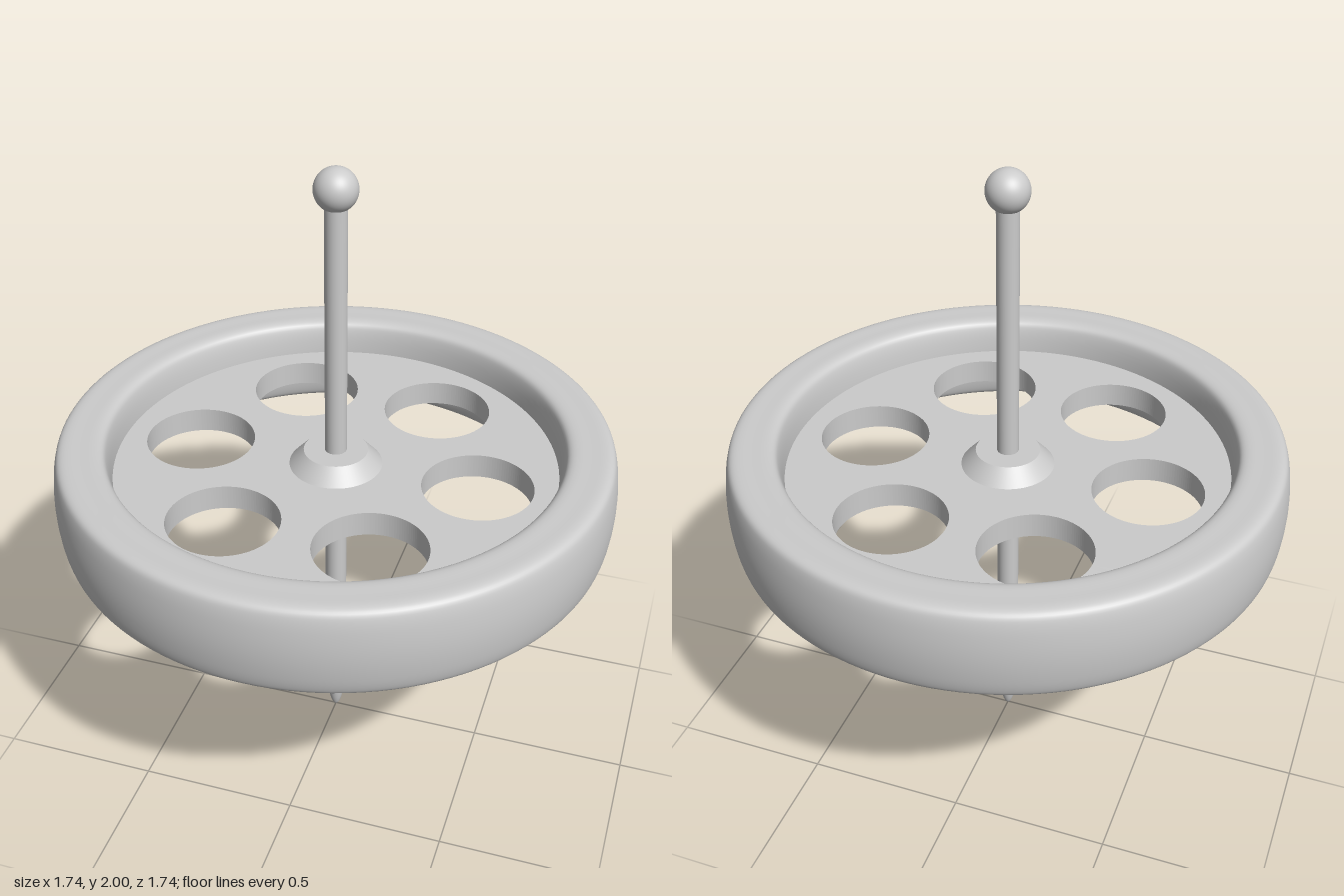
import * as THREE from 'three';

const MID = 0.987; // height of the wheel's middle plane

export function createModel() {
  const group = new THREE.Group();
  const material = new THREE.MeshStandardMaterial({ color: 0xcccccc });
  const add = (name, geometry, y = 0, parent = group) => {
    const mesh = new THREE.Mesh(geometry, material);
    mesh.name = name;
    mesh.position.y = y;
    parent.add(mesh);
    return mesh;
  };

  // Rim: rounded, slightly bulging section mirrored into four quarters;
  // the seam lies on the inner side, inside the disc
  const quarter = [[0.09, 0], [0.087, 0.06], [0.079, 0.112], [0.069, 0.137], [0.05, 0.147], [0, 0.148]];
  const right = [...quarter.slice(1).reverse().map(([x, y]) => [x, -y]), ...quarter];
  const left = right.slice(1, -1).map(([x, y]) => [-x, -y]);
  const section = [...left.slice(4), ...right, ...left.slice(0, 4)]
    .map(([x, y]) => new THREE.Vector3(0.78 + x, y, 0));
  const rimProfile = new THREE.CatmullRomCurve3(section, true, 'centripetal')
    .getPoints(72).map((p) => new THREE.Vector2(p.x, p.y));
  add('rim', new THREE.LatheGeometry(rimProfile, 128), MID);

  // Disc with six round holes
  const thickness = 0.08;
  const shape = new THREE.Shape().absarc(0, 0, 0.72, 0, Math.PI * 2);
  for (let i = 0; i < 6; i++) {
    const a = (i * Math.PI) / 3;
    const hole = new THREE.Path();
    hole.absarc(0.452 * Math.cos(a), 0.452 * Math.sin(a), 0.172, 0, Math.PI * 2, true);
    shape.holes.push(hole);
  }
  const disc = new THREE.ExtrudeGeometry(shape, { depth: thickness, bevelEnabled: false, curveSegments: 64 });
  disc.rotateX(-Math.PI / 2);
  add('disc', disc, MID - thickness / 2);

  // Tapered hub collars above and below the disc
  const hubHeight = 0.05;
  const hubOffset = (thickness + hubHeight) / 2;
  add('upperHub', new THREE.CylinderGeometry(0.1, 0.145, hubHeight, 64), MID + hubOffset);
  add('lowerHub', new THREE.CylinderGeometry(0.145, 0.1, hubHeight, 64), MID - hubOffset);

  // Shaft with a blunt, elliptical point
  const shaftProfile = [];
  for (let i = 0; i <= 16; i++) {
    const a = (i / 16) * (Math.PI / 2);
    shaftProfile.push(new THREE.Vector2(0.034 * Math.sin(a), 0.2 * (1 - Math.cos(a))));
  }
  shaftProfile.push(new THREE.Vector2(0.034, 0.25), new THREE.Vector2(0.034, 1.9));
  add('shaft', new THREE.LatheGeometry(shaftProfile, 48));

  // Ball knob, cut flat underneath
  const radius = 0.065;
  const cut = 0.052;
  const knob = new THREE.Group();
  knob.name = 'knob';
  knob.position.y = 2 - radius;
  group.add(knob);
  add('ball', new THREE.SphereGeometry(radius, 48, 32, 0, Math.PI * 2, 0, Math.acos(-cut / radius)), 0, knob);
  const base = new THREE.CircleGeometry(Math.sqrt(radius ** 2 - cut ** 2), 48).rotateX(Math.PI / 2);
  add('ballBase', base, -cut, knob);

  return group;
}
